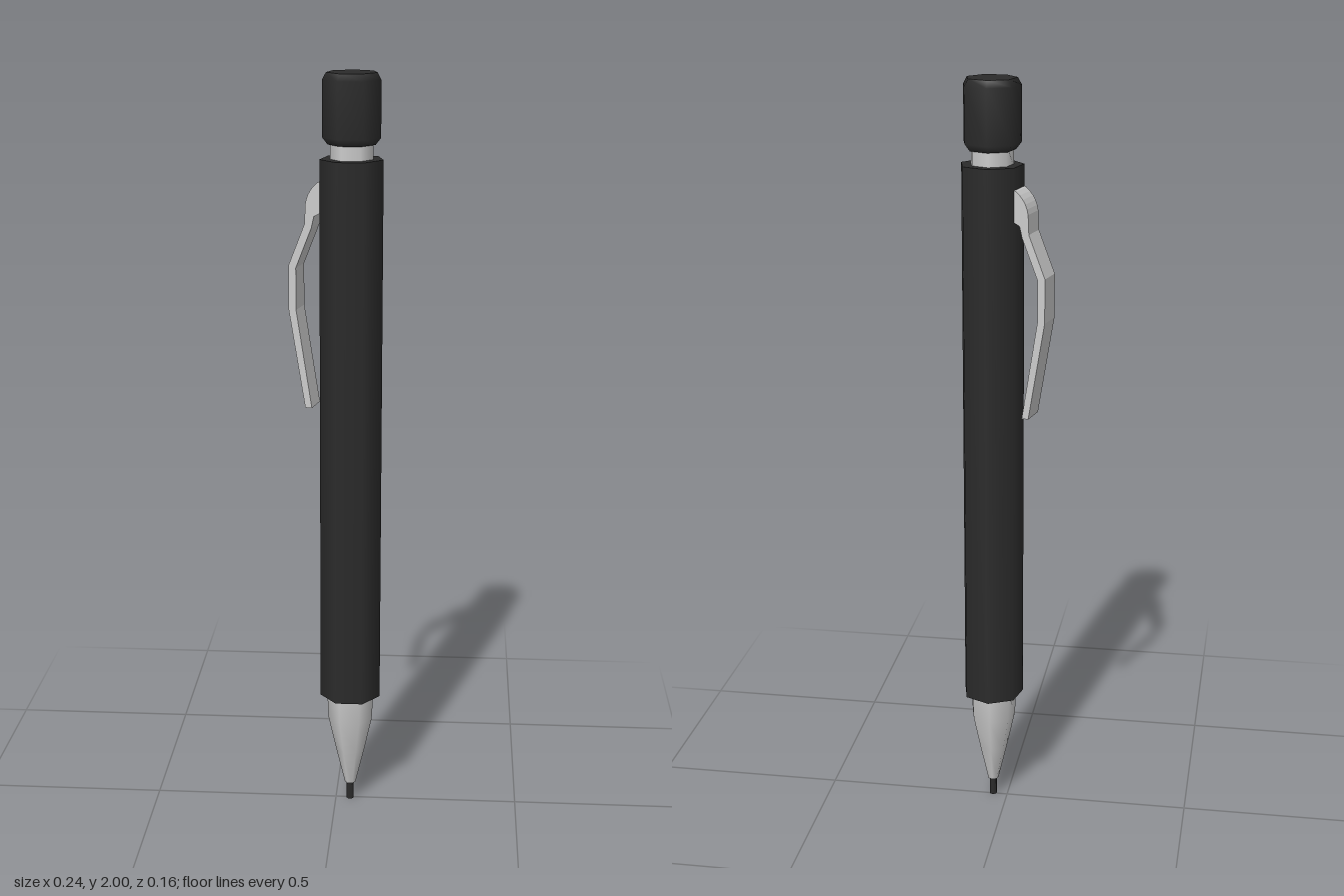
import * as THREE from 'three';

const SIDES = 7;
const CENTER = [0.04, 0.003];

const grey = new THREE.MeshStandardMaterial({ color: 0xcccccc });
const black = new THREE.MeshStandardMaterial({ color: 0x2b2b2b });

// Seven-sided turned part; each run of [radius, y] points is shaded smoothly on its own
function turned(name, material, ...runs) {
  const part = new THREE.Group();
  part.name = name;
  for (const run of runs) {
    const points = run.map(([r, y]) => new THREE.Vector2(r, y));
    const mesh = new THREE.Mesh(new THREE.LatheGeometry(points, SIDES, Math.PI), material);
    mesh.name = name + 'Surface';
    part.add(mesh);
  }
  return part;
}

export function createModel() {
  const pencil = new THREE.Group();
  pencil.name = 'mechanicalPencil';
  const axis = new THREE.Group();
  axis.name = 'pencilParts';
  axis.position.set(CENTER[0], 0, CENTER[1]);
  pencil.add(axis);

  // Lead and tapered metal tip
  axis.add(turned('lead', black, [[0, 0], [0.01, 0]], [[0.01, 0], [0.01, 0.06]]));
  axis.add(turned('tip', grey,
    [[0, 0.05], [0.015, 0.05]],
    [[0.015, 0.05], [0.04, 0.155], [0.061, 0.25], [0.065, 0.33]]));

  // Heptagonal barrel
  axis.add(turned('barrel', black,
    [[0, 0.32], [0.083, 0.32]],
    [[0.083, 0.32], [0.083, 1.785]],
    [[0.083, 1.785], [0, 1.785]]));

  // Metal neck and push button with bevelled rims
  axis.add(turned('neck', grey, [[0.056, 1.78], [0.056, 1.84]]));
  axis.add(turned('pushButton', black,
    [[0, 1.822], [0.062, 1.822]],
    [[0.062, 1.822], [0.076, 1.84], [0.076, 1.982], [0.066, 2]],
    [[0.066, 2], [0, 2]]));

  // Bent pocket clip: side profile (distance from axis, height) extruded across one barrel face
  const width = 0.071;
  const profile = new THREE.Shape();
  profile.moveTo(0.07, 1.73);
  profile.lineTo(0.08, 1.727);
  profile.quadraticCurveTo(0.108, 1.705, 0.113, 1.67);
  profile.lineTo(0.115, 1.62);
  profile.lineTo(0.159, 1.51);
  profile.lineTo(0.159, 1.395);
  profile.lineTo(0.115, 1.135);
  profile.lineTo(0.097, 1.135);
  profile.lineTo(0.139, 1.395);
  profile.lineTo(0.139, 1.505);
  profile.lineTo(0.097, 1.61);
  profile.lineTo(0.09, 1.64);
  profile.lineTo(0.07, 1.65);
  const clipGeometry = new THREE.ExtrudeGeometry(profile, { depth: width, bevelEnabled: false, curveSegments: 5 });
  clipGeometry.translate(0, 0, -width / 2);
  const clip = new THREE.Mesh(clipGeometry, grey);
  clip.name = 'pocketClip';
  clip.rotation.y = Math.PI - Math.PI / 14;
  axis.add(clip);

  return pencil;
}
